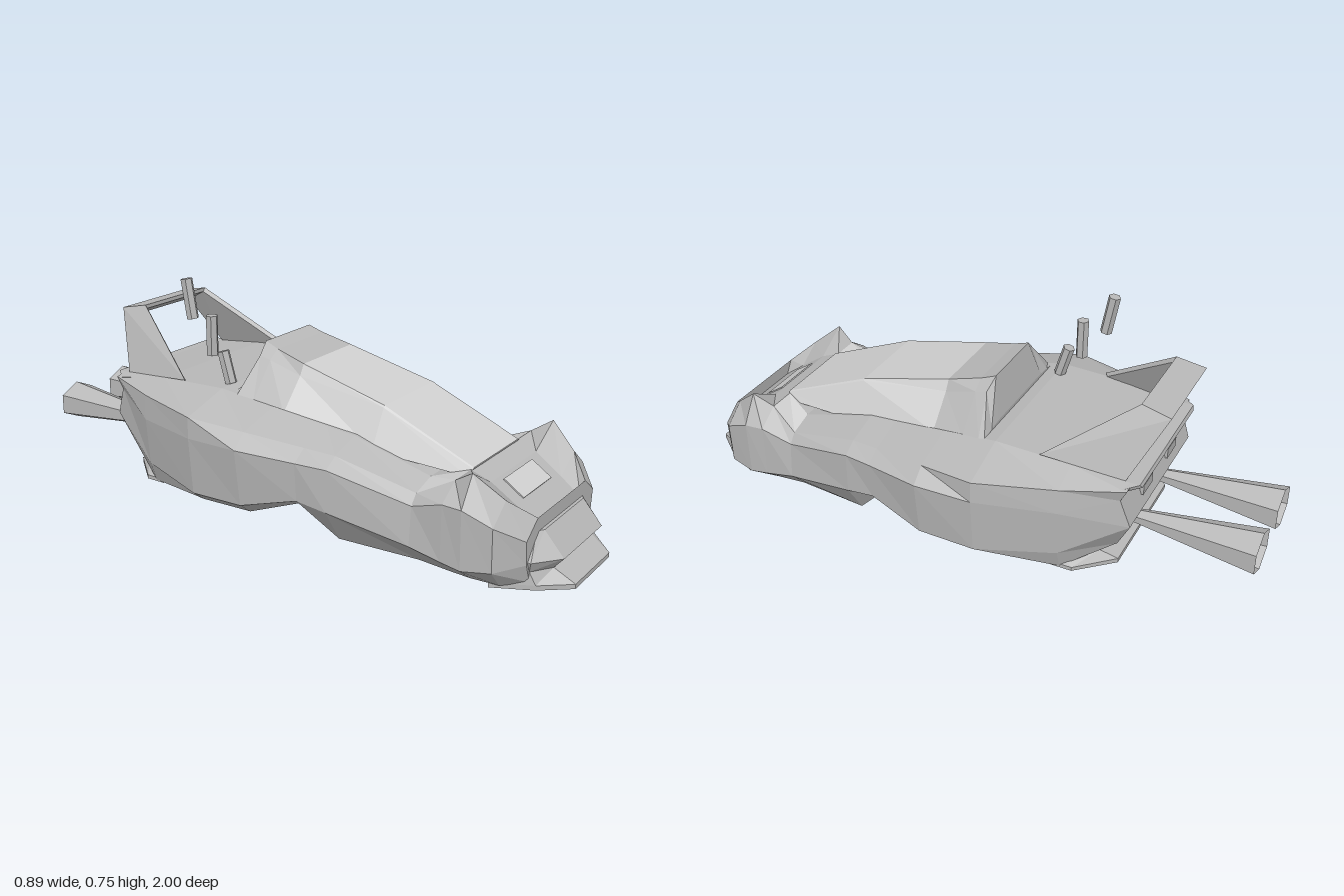
import * as THREE from 'three';
import { ConvexGeometry } from 'three/addons/geometries/ConvexGeometry.js';

const V = (x, y, z) => new THREE.Vector3(x, y, z);

// Skins mirrored half-rings of [x, y, z]; pick(i, j) chooses the material index of each strip.
function loft(halfRings, pick = () => 0) {
  const rings = halfRings.map(h => [...h, ...h.map(([x, y, z]) => [-x, y, z]).reverse()]);
  const n = rings[0].length, pos = [[], []];
  const quad = (a, b, c, d, m) => pos[m].push(...a, ...b, ...c, ...a, ...c, ...d);
  for (let i = 0; i < rings.length - 1; i++) {
    for (let j = 0; j < n; j++) {
      const k = (j + 1) % n, r = rings[i], s = rings[i + 1];
      quad(r[j], r[k], s[k], s[j], pick(i, Math.min(j, (2 * n - 2 - j) % n)));
    }
  }
  // end caps, in strips from side to side
  const first = rings[0], last = rings[rings.length - 1];
  for (let j = 0; j < n / 2 - 1; j++) {
    quad(first[j], first[n - 1 - j], first[n - 2 - j], first[j + 1], 0);
    quad(last[j], last[j + 1], last[n - 2 - j], last[n - 1 - j], 0);
  }
  const g = new THREE.BufferGeometry();
  g.setAttribute('position', new THREE.Float32BufferAttribute([...pos[0], ...pos[1]], 3));
  g.addGroup(0, pos[0].length / 3, 0);
  g.addGroup(pos[0].length / 3, pos[1].length / 3, 1);
  g.computeVertexNormals();
  return g;
}

export function createModel() {
  const model = new THREE.Group();
  model.name = 'hoverRacer';
  const body = new THREE.MeshStandardMaterial({ color: 0xb8b8b8, flatShading: true, side: THREE.DoubleSide });
  body.name = 'bodyGrey';
  const light = new THREE.MeshStandardMaterial({ color: 0xd0d0d0, flatShading: true, side: THREE.DoubleSide });
  light.name = 'paleGrey';
  const add = (name, geometry, material = body) => {
    const mesh = new THREE.Mesh(geometry, material);
    mesh.name = name;
    model.add(mesh);
    return mesh;
  };
  const convex = (name, pts) => add(name, new ConvexGeometry(pts.map(p => V(...p))));
  const both = pts => [...pts, ...pts.map(([x, y, z]) => [-x, y, z])];

  // Hull stations: z, then x, y of deck edge, shoulder, widest line, lower side, bottom edge
  const stations = [
    [.89, .138, .165, .167, .21, .235, .16, .228, .085, .20, .02],
    [.82, .145, .215, .235, .27, .31, .21, .305, .07, .25, .01],
    [.73, .15, .275, .27, .343, .33, .25, .325, .06, .26, .012],
    [.665, .155, .30, .25, .30, .325, .25, .325, .07, .26, .015],
    [.56, .205, .272, .288, .247, .315, .215, .325, .09, .26, .022],
    [.30, .215, .345, .325, .315, .375, .285, .375, .148, .30, .035],
    [.20, .225, .36, .345, .325, .395, .29, .385, .165, .30, .135],
    [.01, .245, .39, .395, .35, .445, .305, .42, .115, .37, .077],
    [-.18, .265, .42, .435, .37, .437, .30, .42, .11, .37, .072],
    [-.43, .263, .41, .355, .372, .36, .29, .345, .13, .32, .062],
    [-.62, .25, .393, .29, .385, .285, .345, .275, .25, .24, .15],
  ];
  const hull = stations.map(([z, ...xy]) => [0, 2, 4, 6, 8].map(k => [xy[k], xy[k + 1], z]));
  // the tail is notched under the deck and cut away at the bottom
  [0, 0, .02, -.013, .035].forEach((dz, j) => { hull[hull.length - 1][j][2] += dz; });
  add('hull', loft(hull, (i, j) => (i === 3 && j === 0 ? 1 : 0)), [body, light]);

  // Canopy: roof edge, side crease, base; pale glass ahead of the roof
  const canopy = [
    [[.145, .305, .67], [.15, .302, .67], [.165, .28, .66]],
    [[.145, .435, .36], [.152, .43, .36], [.215, .31, .36]],
    [[.135, .51, .05], [.155, .475, .05], [.245, .375, .05]],
    [[.125, .538, -.06], [.165, .51, -.06], [.257, .395, -.06]],
    [[.12, .556, -.11], [.165, .52, -.10], [.262, .41, -.12]],
    [[.16, .425, -.14], [.21, .42, -.14], [.262, .41, -.14]],
  ];
  add('canopy', loft(canopy, (i, j) => (i < 2 && j !== 2 ? 1 : 0)), [body, light]);

  // Pale panel on the sloping hood
  const panel = add('hoodPanel', new THREE.BoxGeometry(.19, .006, .08), light);
  panel.position.set(0, .246, .775);
  panel.rotation.x = .588;

  // Front bumper with its splitter, stacked from the ground up
  add('frontBumper', loft([
    [[.125, 0, 1], [.20, 0, .91], [.26, 0, .79]],
    [[.125, .015, 1], [.20, .015, .91], [.26, .015, .79]],
    [[.137, .055, .935], [.205, .055, .89], [.225, .055, .79]],
    [[.137, .09, .965], [.22, .09, .90], [.225, .09, .79]],
    [[.138, .165, .90], [.16, .165, .885], [.20, .165, .79]],
  ]), [body, light]);

  // Rear lip and lower skid
  convex('rearLip', both([[.29, .387, -.60], [.25, .393, -.645], [.24, .38, -.65], [.28, .372, -.60], [.25, .395, -.5]]));
  convex('rearSkid', both([[.32, .057, -.40], [.32, .07, -.40], [.32, .057, -.47], [.32, .07, -.47],
    [.22, .06, -.585], [.22, .075, -.585], [.24, .105, -.53], [.28, .11, -.40]]));

  // Spoiler: a bar on two leaning legs
  convex('spoilerBar', both([[.157, .61, -.60], [.153, .597, -.60], [.152, .565, -.66], [.165, .59, -.697]]));
  for (const s of [1, -1]) {
    const side = s > 0 ? 'left' : 'right';
    convex(side + 'SpoilerLeg', [
      [.272, .42, -.33], [.157, .61, -.60], [.165, .59, -.697], [.25, .395, -.60],
      [.258, .415, -.34], [.145, .60, -.605], [.15, .575, -.69], [.236, .395, -.59],
    ].map(([x, y, z]) => [s * x, y, z]));

    // Flared six-sided exhaust, open at the back, on a short stub
    const cone = new THREE.CylinderGeometry(.085, .024, .42, 6, 1, true);
    cone.rotateX(-Math.PI / 2);
    cone.scale(1, .8, 1);
    add(side + 'Exhaust', cone).position.set(s * .122, .183, -.79);
    const stub = new THREE.CylinderGeometry(.022, .022, .10, 6);
    stub.rotateX(Math.PI / 2);
    add(side + 'ExhaustStub', stub).position.set(s * .122, .183, -.56);

    // Small vent on the rear face
    add(side + 'RearVent', new THREE.BoxGeometry(.08, .035, .02)).position.set(s * .11, .305, -.617);
  }

  // Broken mast: three separate hexagonal rods, each from y0, z0 to y1, z1
  const rods = [[.42, -.19, .523, -.22], [.503, -.265, .635, -.265], [.613, -.345, .743, -.368]];
  rods.forEach(([y0, z0, y1, z1], i) => {
    const rod = add('mastRod' + (i + 1), new THREE.CylinderGeometry(.02, .02, Math.hypot(y1 - y0, z1 - z0), 6));
    rod.position.set(-.205, (y0 + y1) / 2, (z0 + z1) / 2);
    rod.rotation.x = Math.atan2(z1 - z0, y1 - y0);
  });

  return model;
}
